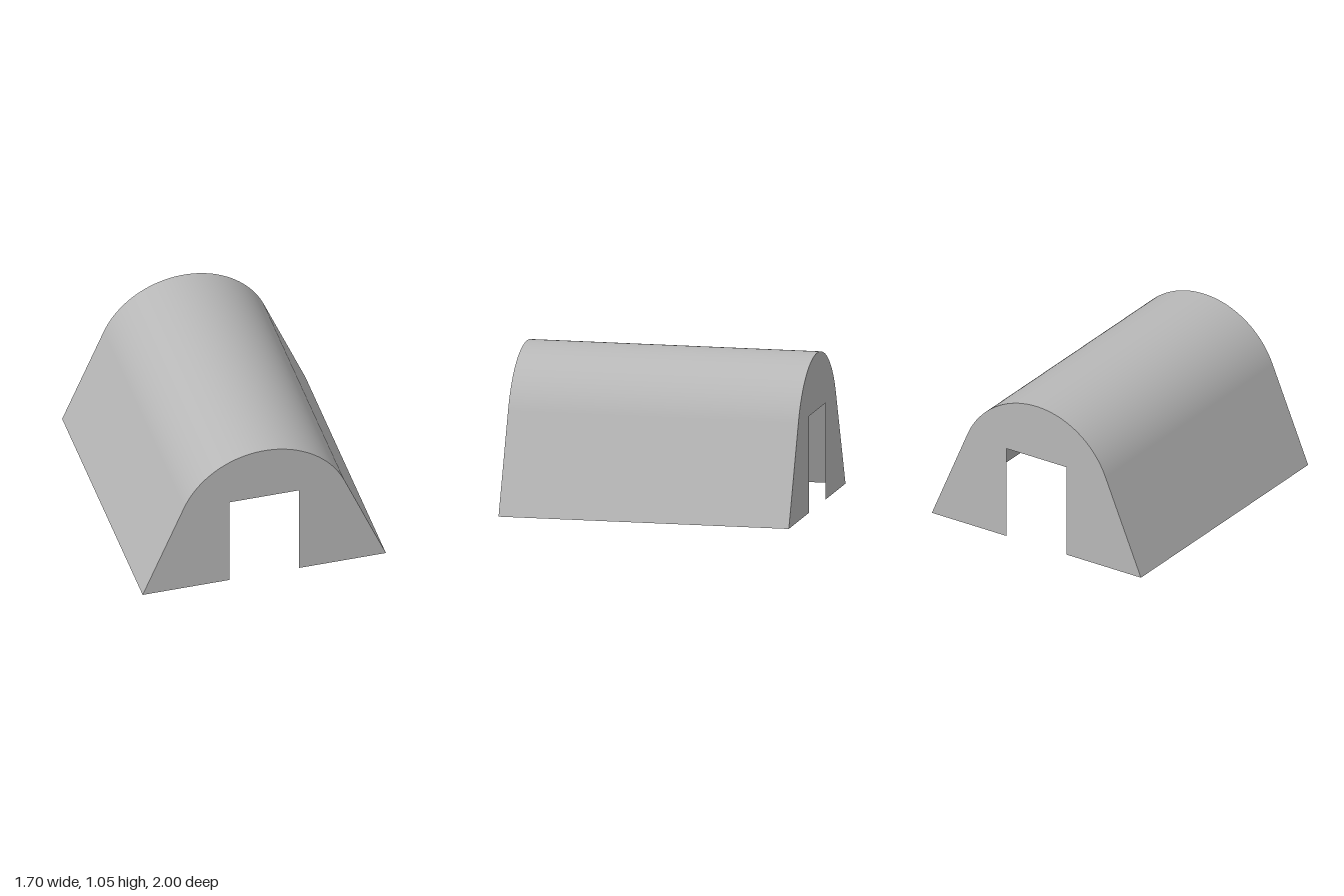
import * as THREE from 'three';

const HALF_WIDTH = 0.848, HALF_LENGTH = 1;
const ARC_Y = 0.44, RADIUS = 0.608, SLOPE = 0.4; // roof arc centre, radius, angle where it meets the straight sides
const DOOR_HALF = 0.243, DOOR_TOP = 0.66, ARC_STEPS = 48;

// Half-barrel outline from left foot to right foot, with smooth normals
function outline() {
  const list = [];
  const n = (a) => new THREE.Vector2(Math.cos(a), Math.sin(a));
  list.push({ p: new THREE.Vector2(-HALF_WIDTH, 0), n: n(Math.PI - SLOPE) });
  for (let i = 0; i <= ARC_STEPS; i++) {
    const a = Math.PI - SLOPE - (i / ARC_STEPS) * (Math.PI - 2 * SLOPE);
    list.push({ p: n(a).multiplyScalar(RADIUS).add(new THREE.Vector2(0, ARC_Y)), n: n(a) });
  }
  list.push({ p: new THREE.Vector2(HALF_WIDTH, 0), n: n(SLOPE) });
  return list;
}

export function createModel() {
  const group = new THREE.Group();
  group.name = 'archedShelter';
  const grey = new THREE.MeshStandardMaterial({ color: 0xb8b8b8, side: THREE.DoubleSide });
  grey.name = 'grey';
  const profile = outline();

  // Roof and sloping sides: a sheet bent along the outline
  const sheet = new THREE.PlaneGeometry(1, 2, profile.length - 1, 1);
  const pos = sheet.attributes.position, nor = sheet.attributes.normal;
  for (let i = 0; i < pos.count; i++) {
    const { p, n } = profile[i % profile.length];
    pos.setXYZ(i, p.x, p.y, -pos.getY(i) * HALF_LENGTH);
    nor.setXYZ(i, n.x, n.y, 0);
  }
  const shell = new THREE.Mesh(sheet, grey);
  shell.name = 'roofShell';
  group.add(shell);

  // End walls with an open doorway
  const shape = new THREE.Shape([
    ...profile.map((s) => s.p),
    new THREE.Vector2(DOOR_HALF, 0),
    new THREE.Vector2(DOOR_HALF, DOOR_TOP),
    new THREE.Vector2(-DOOR_HALF, DOOR_TOP),
    new THREE.Vector2(-DOOR_HALF, 0),
  ]);
  const wallGeometry = new THREE.ShapeGeometry(shape);
  for (const [name, side] of [['frontWall', 1], ['backWall', -1]]) {
    const wall = new THREE.Mesh(wallGeometry, grey);
    wall.name = name;
    wall.position.z = side * HALF_LENGTH;
    if (side < 0) wall.rotation.y = Math.PI;
    group.add(wall);
  }
  return group;
}
